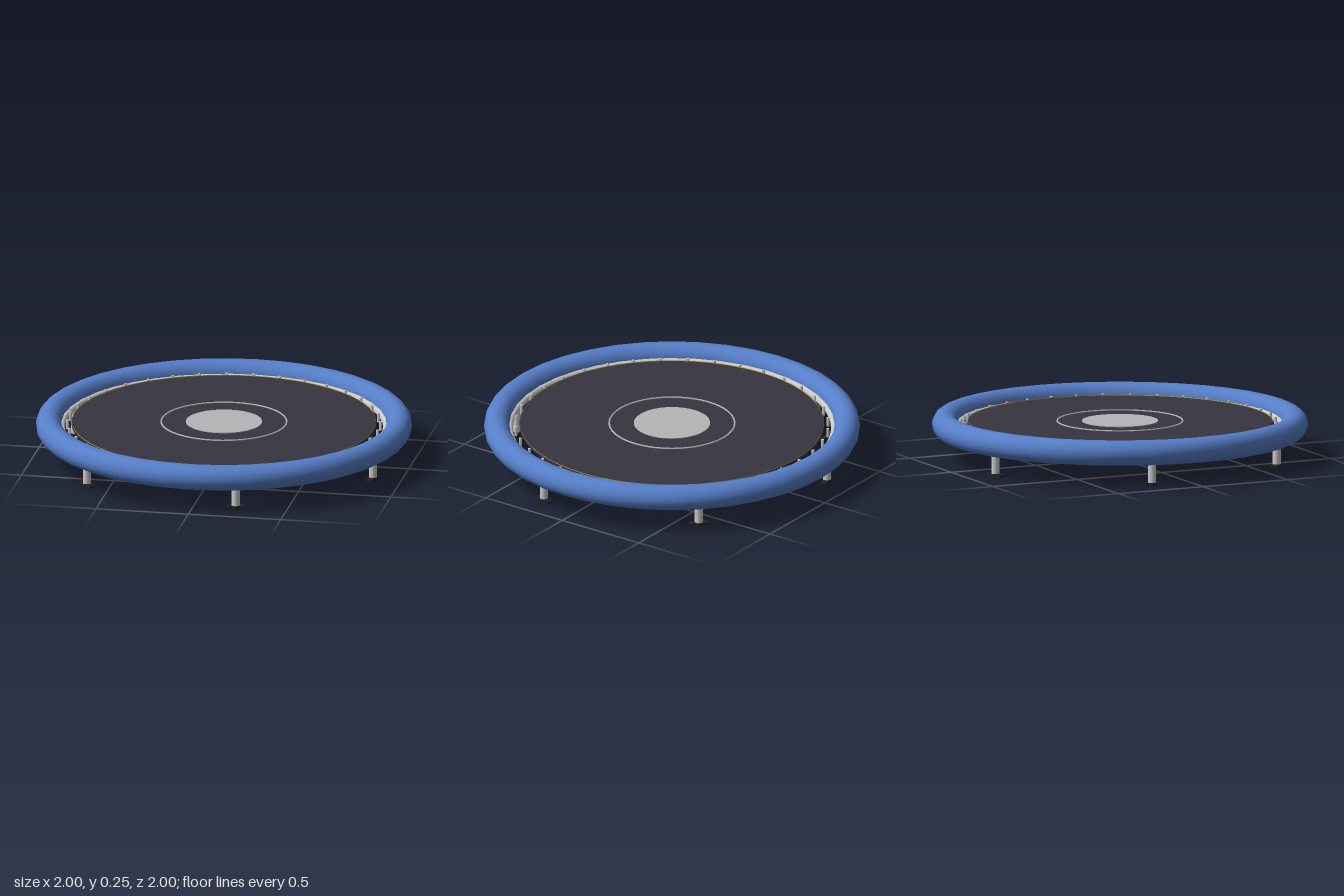
import * as THREE from 'three';

const mat = (name, color, extra = {}) => {
  const m = new THREE.MeshStandardMaterial({ color, ...extra });
  m.name = name;
  return m;
};

export function createModel() {
  const blue = mat('blue padding', 0x567ec8);
  const steel = mat('light steel', 0xc9c9c9);
  const fabric = mat('dark fabric', 0x353440);
  const marking = mat('grey marking', 0xb5b5b9);
  const rubber = mat('black rubber', 0x222227);
  const yellow = mat('yellow stitching', 0xc9a832, { side: THREE.DoubleSide });

  const model = new THREE.Group();
  model.name = 'trampoline';
  const add = (parent, name, geometry, material, x = 0, y = 0, z = 0) => {
    const mesh = new THREE.Mesh(geometry, material);
    mesh.name = name;
    mesh.position.set(x, y, z);
    parent.add(mesh);
    return mesh;
  };
  // A torus lying flat
  const ring = (radius, tube, sides, segments) =>
    new THREE.TorusGeometry(radius, tube, sides, segments).rotateX(Math.PI / 2);

  // Padded rim and the steel hoop tucked inside it
  add(model, 'rimPad', ring(0.932, 0.068, 20, 40), blue, 0, 0.187, 0);
  add(model, 'frameHoop', ring(0.865, 0.02, 12, 64), steel, 0, 0.174, 0);

  // Jumping mat with its stitched edge and target markings
  add(model, 'jumpingMat', new THREE.CylinderGeometry(0.81, 0.81, 0.014, 64), fabric, 0, 0.195, 0);
  add(model, 'matStitching', new THREE.CylinderGeometry(0.808, 0.808, 0.005, 64, 1, true), yellow, 0, 0.2035, 0);
  add(model, 'targetRing', ring(0.334, 0.005, 6, 40), marking, 0, 0.203, 0);
  add(model, 'targetDisc', new THREE.CylinderGeometry(0.203, 0.203, 0.004, 48), marking, 0, 0.2035, 0);

  // Short pins between the mat and the hoop
  const pins = new THREE.Group();
  pins.name = 'springPins';
  model.add(pins);
  const pinGeometry = new THREE.CylinderGeometry(0.008, 0.008, 0.05, 8);
  for (let i = 0; i < 36; i++) {
    const a = (i / 36) * Math.PI * 2;
    add(pins, 'springPin', pinGeometry, steel, 0.832 * Math.cos(a), 0.183, 0.832 * Math.sin(a));
  }

  // Six legs, each with a foot bar set along the rim
  const post = new THREE.CylinderGeometry(0.022, 0.022, 0.16, 16);
  const cap = new THREE.CylinderGeometry(0.026, 0.026, 0.018, 16);
  const bar = new THREE.BoxGeometry(0.036, 0.014, 0.104);
  for (let i = 0; i < 6; i++) {
    const a = Math.PI / 12 + (i * Math.PI) / 3;
    const leg = new THREE.Group();
    leg.name = 'leg';
    leg.position.set(0.88 * Math.cos(a), 0, 0.88 * Math.sin(a));
    leg.rotation.y = -a;
    add(leg, 'legPost', post, steel, 0, 0.09, 0);
    add(leg, 'footCap', cap, rubber, 0, 0.009, 0);
    add(leg, 'footBar', bar, rubber, 0, 0.009, 0);
    model.add(leg);
  }
  return model;
}
